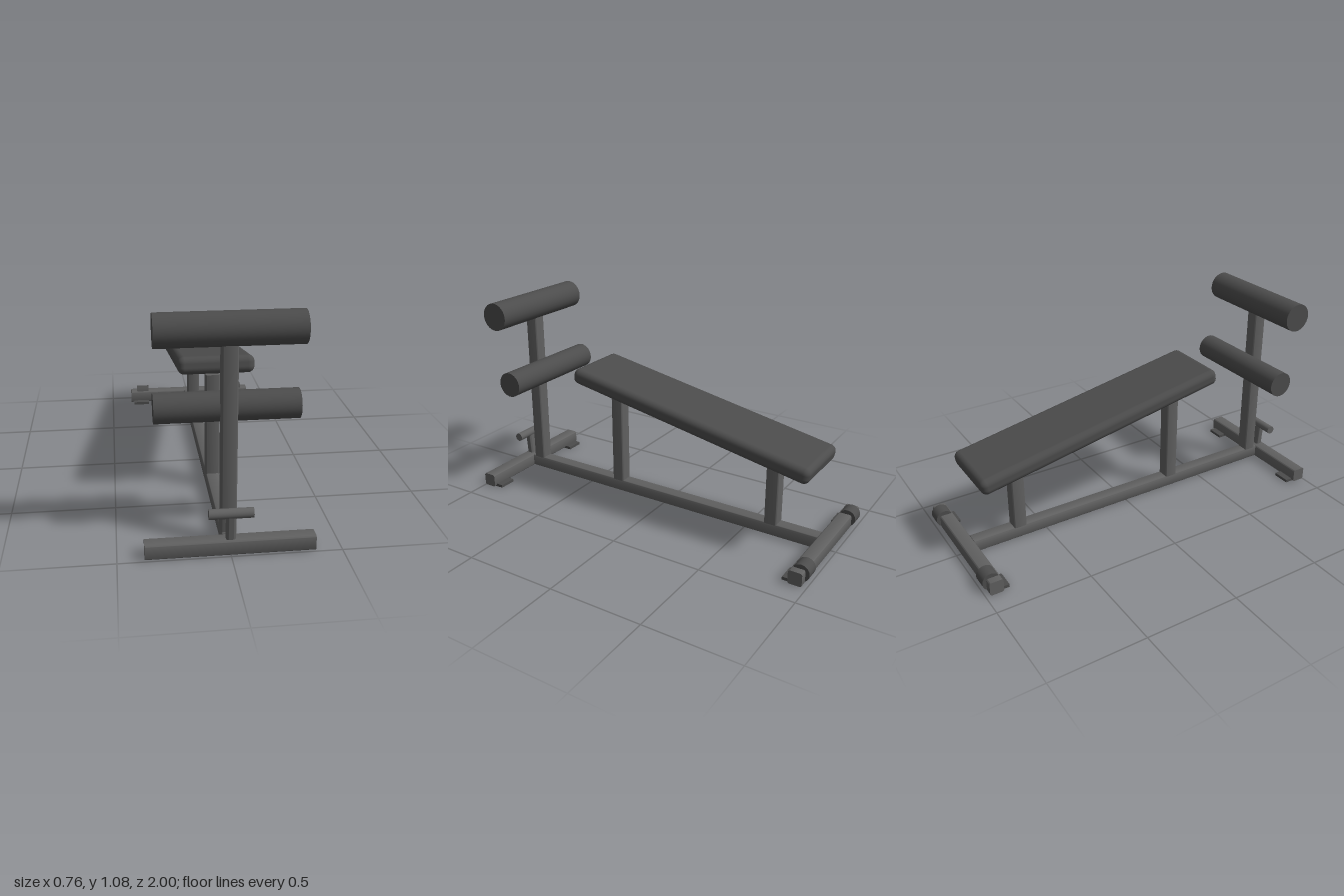
import * as THREE from 'three';
import { toCreasedNormals } from 'three/addons/utils/BufferGeometryUtils.js';
import { RoundedBoxGeometry } from 'three/addons/geometries/RoundedBoxGeometry.js';

const frame = new THREE.MeshStandardMaterial({ color: 0x606060 });
const padding = new THREE.MeshStandardMaterial({ color: 0x4c4c4c });

// Square tube with rounded long edges and flat ends, centred, running along z
function tubeGeometry(w, h, length, r = 0.012) {
  const x = w / 2, y = h / 2;
  const s = new THREE.Shape();
  s.moveTo(-x + r, -y);
  s.lineTo(x - r, -y);
  s.absarc(x - r, -y + r, r, -Math.PI / 2, 0);
  s.lineTo(x, y - r);
  s.absarc(x - r, y - r, r, 0, Math.PI / 2);
  s.lineTo(-x + r, y);
  s.absarc(-x + r, y - r, r, Math.PI / 2, Math.PI);
  s.lineTo(-x, -y + r);
  s.absarc(-x + r, -y + r, r, Math.PI, Math.PI * 1.5);
  const g = new THREE.ExtrudeGeometry(s, { depth: length, bevelEnabled: false, curveSegments: 4 });
  g.translate(0, 0, -length / 2);
  return toCreasedNormals(g, 0.6);
}

export function createModel() {
  const model = new THREE.Group();
  model.name = 'inclineBench';

  const add = (name, geometry, material, x, y, z) => {
    const m = new THREE.Mesh(geometry, material);
    m.name = name;
    m.position.set(x, y, z);
    model.add(m);
    return m;
  };
  const post = (name, bottom, top, z) =>
    add(name, tubeGeometry(0.072, 0.072, top - bottom).rotateX(-Math.PI / 2), frame, 0, (bottom + top) / 2, z);
  const crossBar = (name, z) =>
    add(name, tubeGeometry(0.072, 0.072, 0.76).rotateY(Math.PI / 2), frame, 0, 0.039, z);
  const roller = (name, r, length, material, x, y, z) =>
    add(name, new THREE.CylinderGeometry(r, r, length, 40).rotateZ(Math.PI / 2), material, x, y, z);

  // Base frame
  crossBar('frontBaseBar', 0.962);
  crossBar('rearBaseBar', -0.943);
  add('mainBeam', tubeGeometry(0.07, 0.07, 1.84), frame, 0, 0.04, 0.01);

  // Uprights
  post('rollerPost', 0.07, 0.95, 0.88);
  post('frontSeatPost', 0.07, 0.61, 0.297);
  post('rearSeatPost', 0.07, 0.465, -0.652);

  // Inclined board
  const board = add('benchPad', new RoundedBoxGeometry(0.37, 0.086, 1.4, 5, 0.033), padding, 0, 0.58, -0.21);
  board.rotation.x = -0.187;

  // Foam leg rollers
  roller('upperRoller', 0.075, 0.645, padding, 0, 1.006, 0.88);
  roller('lowerRoller', 0.068, 0.645, padding, 0, 0.635, 0.806);

  // Foot lever: slightly leaning stem with a cross pin
  const stem = add('leverStem', tubeGeometry(0.044, 0.038, 0.14).rotateX(-Math.PI / 2), frame, 0, 0.13, 0.971);
  stem.rotation.x = 0.08;
  roller('leverPin', 0.023, 0.198, frame, 0, 0.2, 0.977);

  // Wheels on the rear bar and foot plates under both bars
  for (const side of [-1, 1]) {
    roller('wheel', 0.045, 0.075, padding, side * 0.304, 0.053, -0.955);
    add('frontFoot', new THREE.BoxGeometry(0.095, 0.016, 0.075), padding, side * 0.315, 0.008, 0.926);
    add('rearFoot', new THREE.BoxGeometry(0.095, 0.016, 0.075), padding, side * 0.315, 0.008, -0.909);
  }
  return model;
}
